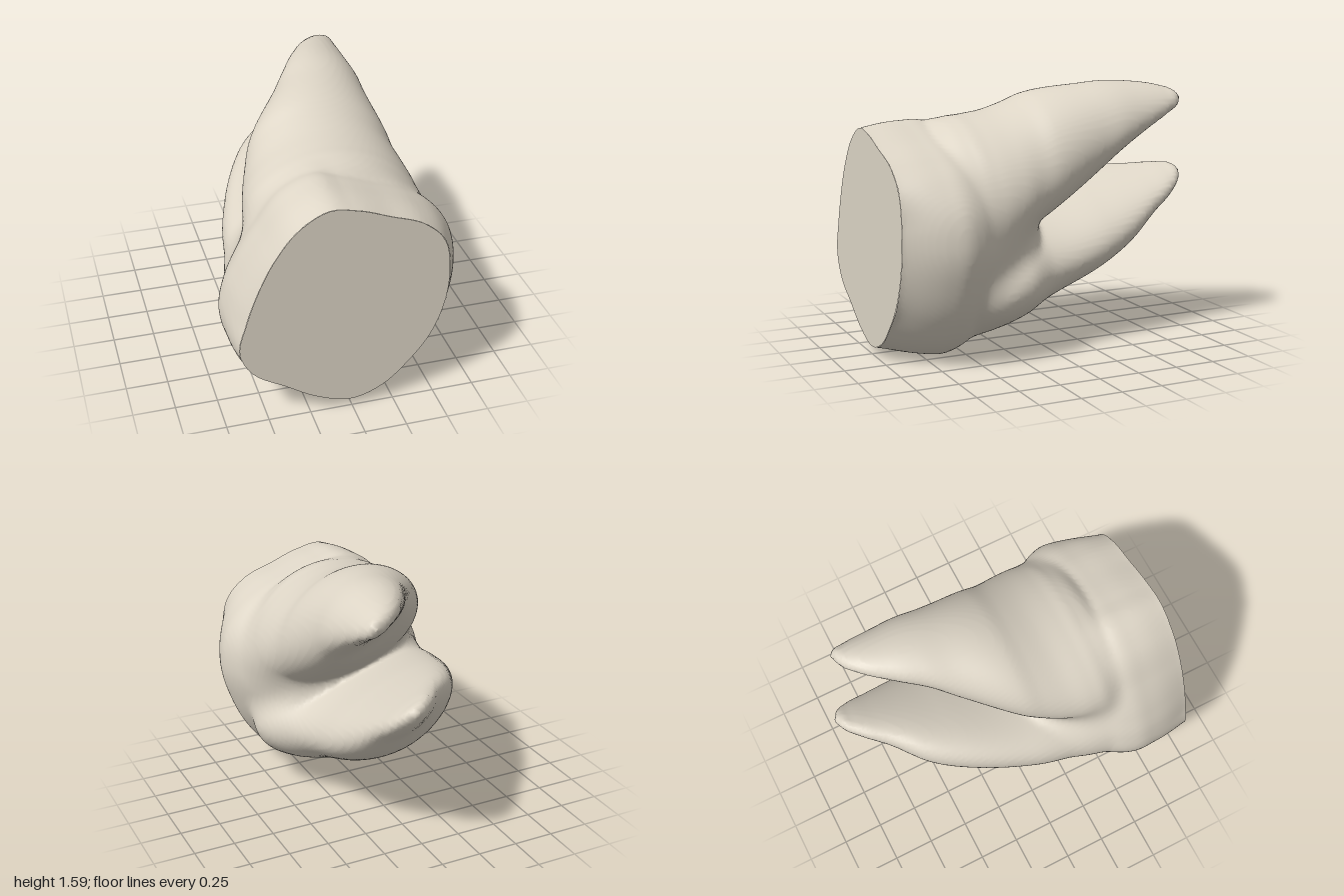
import * as THREE from 'three';

const STEP = 0.02;
const material = new THREE.MeshStandardMaterial({ color: 0xddd5c6 });

// Smooth lookup through rows whose first number is the (rising) position
function track(rows) {
  const values = rows.flatMap((row) => row.slice(1));
  return new THREE.CubicInterpolant(
    Float32Array.from(rows, (row) => row[0]), Float32Array.from(values), rows[0].length - 1);
}

// Two distances joined with a soft fillet of size k
function blend(a, b, k) {
  const h = Math.max(k - Math.abs(a - b), 0) / k;
  return Math.min(a, b) - h * h * k * 0.25;
}

// Outline through a few points, as a radius for every angle about the middle
const MIDDLE = [0.02, 0.7];
function polarOutline(points) {
  const polar = points.map(([x, y]) => {
    const dx = x - MIDDLE[0], dy = y - MIDDLE[1];
    return [Math.atan2(dy, dx), Math.hypot(dx, dy)];
  }).sort((a, b) => a[0] - b[0]);
  const turn = ([angle, r], by) => [angle + by * Math.PI * 2, r];
  return track([...polar.slice(-2).map((p) => turn(p, -1)), ...polar, ...polar.slice(0, 2).map((p) => turn(p, 1))]);
}

// Flat cut end and widest part of the neck
const rim = polarOutline([
  [-0.66, 0.5], [-0.6, 0.36], [-0.4, 0.22], [-0.2, 0.1], [0, 0.045], [0.17, 0.1],
  [0.33, 0.24], [0.46, 0.41], [0.54, 0.62], [0.56, 0.85], [0.52, 1.05], [0.4, 1.17],
  [0.2, 1.25], [0, 1.32], [-0.14, 1.34], [-0.3, 1.26], [-0.45, 1.08], [-0.55, 0.88], [-0.62, 0.68],
]);
const neck = polarOutline([
  [-0.7, 0.57], [-0.64, 0.38], [-0.43, 0.22], [-0.18, 0.08], [0.13, 0], [0.35, 0.07],
  [0.53, 0.26], [0.64, 0.48], [0.7, 0.74], [0.67, 0.93], [0.55, 1.1], [0.4, 1.2],
  [0.2, 1.28], [0, 1.345], [-0.13, 1.375], [-0.32, 1.3], [-0.48, 1.1], [-0.6, 0.9], [-0.67, 0.74],
]);

// Trunk: [z, share of neck against rim, scale]; its end is the web between the roots
const trunk = track([
  [0.0, 1, 0.12], [0.03, 1, 0.32], [0.08, 1, 0.5], [0.17, 1, 0.65], [0.3, 1, 0.78], [0.47, 1, 0.9],
  [0.56, 1, 0.965], [0.65, 1, 1], [0.75, 0.85, 1.005], [0.85, 0.55, 1.01], [1, 0, 1],
]);

// Roots: [z, centre x, centre y, half length, half thickness, tilt]
const upperRoot = track([
  [-0.867, 0.37, 1.485, 0.02, 0.016, -0.5],
  [-0.85, 0.355, 1.487, 0.058, 0.04, -0.5],
  [-0.79, 0.325, 1.484, 0.115, 0.062, -0.5],
  [-0.6, 0.27, 1.443, 0.215, 0.125, -0.5],
  [-0.44, 0.235, 1.39, 0.28, 0.182, -0.5],
  [-0.3, 0.19, 1.32, 0.33, 0.245, -0.48],
  [0, 0.105, 1.185, 0.46, 0.335, -0.33],
  [0.12, 0.085, 1.12, 0.49, 0.35, -0.28],
  [0.25, 0.08, 1.06, 0.53, 0.365, -0.26],
  [0.4, 0.07, 1.025, 0.555, 0.372, -0.26],
  [0.5, 0.06, 1.015, 0.54, 0.37, -0.26],
  [0.6, 0.05, 0.985, 0.46, 0.35, -0.26],
  [0.68, 0.05, 0.9, 0.38, 0.28, -0.26],
]);
const lowerRoot = track([
  [-0.992, 0.18, 1.0, 0.02, 0.016, -0.5],
  [-0.975, 0.175, 0.992, 0.06, 0.042, -0.5],
  [-0.9, 0.155, 0.952, 0.138, 0.076, -0.5],
  [-0.76, 0.11, 0.882, 0.225, 0.12, -0.48],
  [-0.6, 0.045, 0.787, 0.335, 0.188, -0.45],
  [-0.4, 0, 0.7, 0.42, 0.23, -0.42],
  [0, -0.045, 0.565, 0.52, 0.275, -0.34],
  [0.2, -0.01, 0.51, 0.585, 0.31, -0.28],
  [0.4, -0.01, 0.47, 0.6, 0.32, -0.26],
  [0.48, -0.01, 0.48, 0.57, 0.31, -0.26],
  [0.62, 0, 0.52, 0.42, 0.24, -0.26],
]);

// Distance to a root's oval section; its ends bend towards the other root
function rootDistance(root, tip, inner, x, y, z) {
  const [cx, cy, a, b, tilt] = root.evaluate(z);
  const c = Math.cos(tilt), s = Math.sin(tilt);
  const u = ((x - cx) * c + (y - cy) * s) / a;
  const v = ((y - cy) * c - (x - cx) * s) / b - inner * 0.15 * Math.min(u * u, 1.5);
  const f = Math.hypot(u, v);
  return f * (f - 1) / (Math.hypot(u / a, v / b) + 1e-6) + Math.max(0, tip - z);
}

function toothDistance(x, y, z) {
  const dx = x - MIDDLE[0], dy = y - MIDDLE[1], angle = Math.atan2(dy, dx);
  const [share, scale] = trunk.evaluate(z);
  const radius = THREE.MathUtils.lerp(rim.evaluate(angle)[0], neck.evaluate(angle)[0], share) * scale;
  const body = Math.hypot(dx, dy) - radius + Math.max(0, -z);
  const roots = blend(
    rootDistance(upperRoot, -0.867, -1, x, y, z),
    rootDistance(lowerRoot, -0.992, 1, x, y, z), 0.05);
  return blend(body, roots, 0.09);
}

// Skin the zero surface of a distance rule: one vertex per crossed grid cell
function skin(distance, min, size) {
  const [nx, ny, nz] = size, stride = [1, nx, nx * ny];
  const values = new Float32Array(nx * ny * nz), vertexOf = new Int32Array(nx * ny * nz);
  const positions = [], index = [];
  const eachPoint = (trim, visit) => {
    for (let k = 0; k < nz - trim; k++) {
      for (let j = 0; j < ny - trim; j++) {
        for (let i = 0; i < nx - trim; i++) visit(i + nx * j + nx * ny * k, [i, j, k]);
      }
    }
  };
  eachPoint(0, (at, p) => {
    values[at] = distance(...p.map((n, axis) => min[axis] + n * STEP));
  });
  eachPoint(1, (at, p) => {
    const sum = [0, 0, 0];
    let count = 0;
    for (let corner = 0; corner < 8; corner++) {
      const bits = [corner & 1, (corner >> 1) & 1, corner >> 2];
      const from = at + bits[0] * stride[0] + bits[1] * stride[1] + bits[2] * stride[2];
      for (let axis = 0; axis < 3; axis++) {
        const v0 = values[from], v1 = values[from + stride[axis]];
        if (bits[axis] || (v0 < 0) === (v1 < 0)) continue;
        for (let d = 0; d < 3; d++) sum[d] += d === axis ? v0 / (v0 - v1) : bits[d];
        count++;
      }
    }
    if (!count) return;
    vertexOf[at] = positions.length / 3;
    const [x, y, z] = sum.map((total, d) => min[d] + (p[d] + total / count) * STEP);
    positions.push(x, y, Math.min(z, 1));
  });
  eachPoint(1, (at) => {
    for (let axis = 0; axis < 3; axis++) {
      const inside = values[at] < 0;
      if (inside === values[at + stride[axis]] < 0) continue;
      const s = stride[(axis + 1) % 3], t = stride[(axis + 2) % 3];
      const [a, b, c, d] = [at, at - s, at - s - t, at - t].map((cell) => vertexOf[cell]);
      if (inside) index.push(a, b, c, a, c, d);
      else index.push(a, c, b, a, d, c);
    }
  });
  const geometry = new THREE.BufferGeometry();
  geometry.setAttribute('position', new THREE.Float32BufferAttribute(positions, 3));
  geometry.setIndex(index);
  geometry.computeVertexNormals();
  return geometry;
}

export function createModel() {
  const group = new THREE.Group();
  const add = (name, geometry) => {
    const mesh = new THREE.Mesh(geometry, material);
    mesh.name = name;
    group.add(mesh);
  };

  // Neck and both roots in one fused skin, open at the cut
  add('neckAndRoots', skin(toothDistance, [-0.79, -0.09, -1.07], [80, 90, 105]));

  // Flat cut face
  const edge = Array.from({ length: 96 }, (_, i) => {
    const angle = (i / 96) * Math.PI * 2 - Math.PI, r = rim.evaluate(angle)[0];
    return new THREE.Vector2(MIDDLE[0] + r * Math.cos(angle), MIDDLE[1] + r * Math.sin(angle));
  });
  const face = new THREE.ShapeGeometry(new THREE.Shape(edge));
  face.translate(0, 0, 1);
  add('cutFace', face);

  return group;
}
